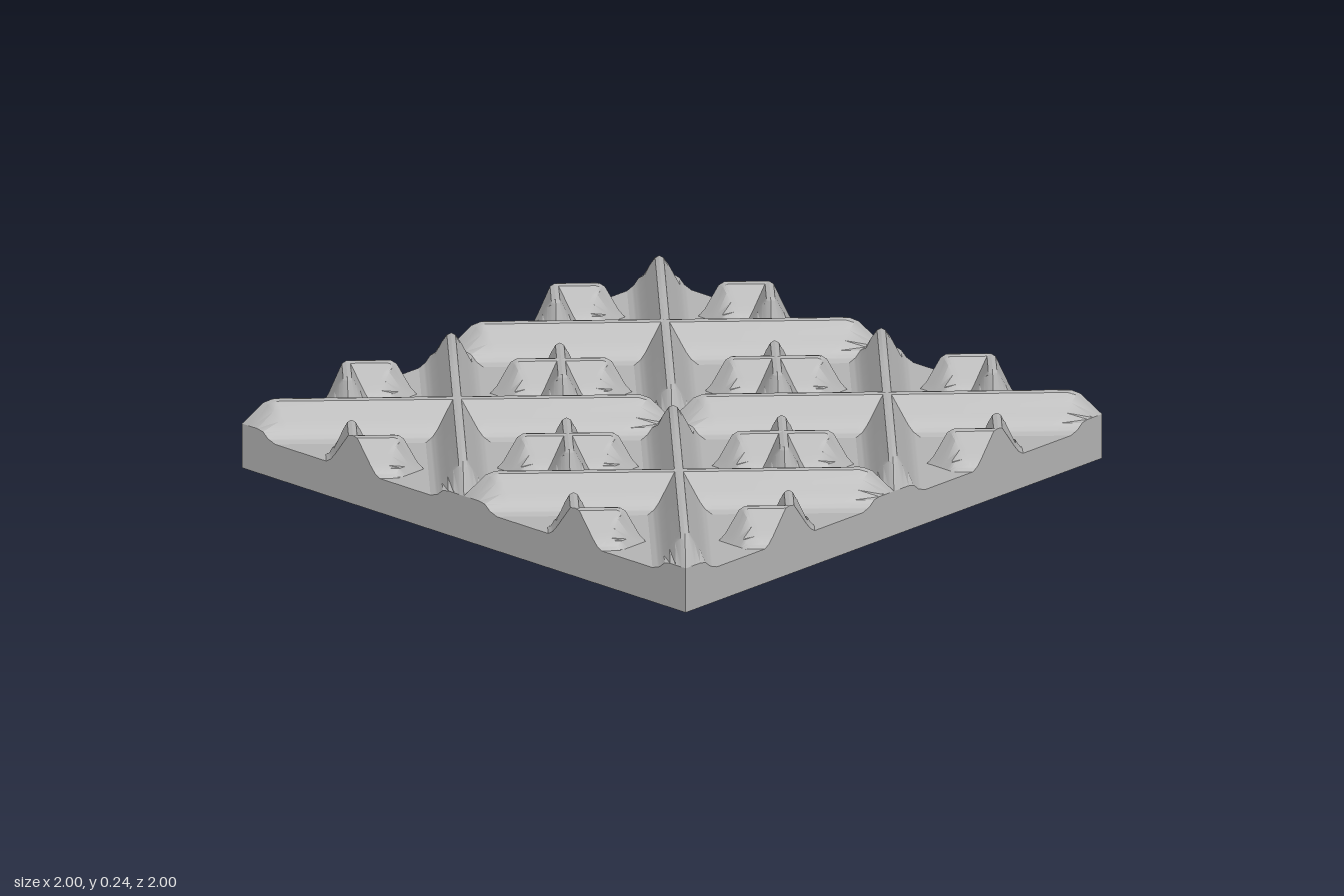
import * as THREE from 'three';
import { toCreasedNormals } from 'three/addons/utils/BufferGeometryUtils.js';

const BASE = 0.12;   // slab thickness
const RISE = 0.12;   // ridge height above the slab

// Piecewise linear lookup in a list of [position, height]
function lookup(points, x) {
  for (let i = 1; i < points.length; i++) {
    const [x0, y0] = points[i - 1], [x1, y1] = points[i];
    if (x <= x1 + 1e-9) return y0 + (y1 - y0) * (x - x0) / (x1 - x0);
  }
  return points[points.length - 1][1];
}

// One diagonal arm filling the +x +z quadrant, lofted from L-shaped sections.
// side: height across the arm, end: height along it
function armGeometry(side, end) {
  const length = end[end.length - 1][0];
  const half = [];
  for (let i = 1; i < side.length; i++) {
    const a = side[i - 1][0], b = side[i][0];
    half.push(a, a + (b - a) / 3, a + (b - a) * 2 / 3);
  }
  half.push(side[side.length - 1][0]);
  const offsets = [...half.slice(1).reverse().map((s) => -s), ...half];
  const stations = [...new Set([...half, ...end.map((p) => p[0])])]
    .filter((t) => t <= length).sort((a, b) => a - b);

  const section = (t, flat) => {
    const row = offsets.map((s) => {
      const d = Math.min(Math.abs(s), t);
      const h = flat ? 0 : Math.min(lookup(side, d), lookup(end, t));
      return s < 0 ? new THREE.Vector3(t, h, t - d) : new THREE.Vector3(t - d, h, t);
    });
    // Drop both edges to the slab so cut faces are closed
    const first = row[0].clone().setY(0), last = row[row.length - 1].clone().setY(0);
    return [first, ...row, last];
  };
  const rows = stations.map((t) => section(t, false));
  rows.push(section(length, true));

  const positions = [];
  const face = (a, b, c) => {
    const area = b.clone().sub(a).cross(c.clone().sub(a)).length();
    if (area > 1e-9) for (const p of [a, b, c]) positions.push(p.x, p.y, p.z);
  };
  for (let i = 0; i + 1 < rows.length; i++) {
    for (let j = 0; j + 1 < rows[i].length; j++) {
      const a = rows[i][j], b = rows[i][j + 1], c = rows[i + 1][j], d = rows[i + 1][j + 1];
      face(a, b, c);
      face(b, d, c);
    }
  }
  const geometry = new THREE.BufferGeometry();
  geometry.setAttribute('position', new THREE.Float32BufferAttribute(positions, 3));
  return toCreasedNormals(geometry, 0.5);
}

// A cross of four arms, leaving out any that would pass the slab's edge
function cross(name, geometry, material, x, z) {
  const group = new THREE.Group();
  group.name = name;
  group.position.set(x, BASE, z);
  [[1, 1], [1, -1], [-1, -1], [-1, 1]].forEach(([dx, dz], k) => {
    if (Math.abs(x + dx * 0.1) > 1 || Math.abs(z + dz * 0.1) > 1) return;
    const arm = new THREE.Mesh(geometry, material);
    arm.name = name + 'Arm';
    arm.rotation.y = k * Math.PI / 2;
    group.add(arm);
  });
  return group;
}

export function createModel() {
  const model = new THREE.Group();
  model.name = 'treadTile';
  const grey = new THREE.MeshStandardMaterial({ color: 0xb4b4b4 });
  grey.name = 'midGrey';

  // Base slab
  const slab = new THREE.Mesh(new THREE.BoxGeometry(2, BASE, 2), grey);
  slab.name = 'baseSlab';
  slab.position.y = BASE / 2;
  model.add(slab);

  // Long ridges slope down at each quarter's border; short ones end in a ramp
  const longArm = armGeometry(
    [[0, RISE], [0.02, 0.117], [0.095, 0.03], [0.118, 0.011], [0.15, 0]],
    [[0, RISE], [0.2, RISE], [0.43, RISE], [0.45, 0.108], [0.5, 0.035]]);
  const shortArm = armGeometry(
    [[0, RISE], [0.02, 0.116], [0.08, 0.035], [0.1, 0.012], [0.12, 0]],
    [[0, RISE], [0.105, RISE], [0.118, 0.108], [0.15, 0.025], [0.165, 0]]);

  // Lattice of half-unit steps: long crosses mid-quarter, short ones between
  for (let i = -2; i <= 2; i++) {
    for (let j = -2; j <= 2; j++) {
      if (i % 2 && j % 2) model.add(cross('diagonalRidge', longArm, grey, i / 2, j / 2));
      else if ((i + j) % 2) model.add(cross('smallCross', shortArm, grey, i / 2, j / 2));
    }
  }
  return model;
}
